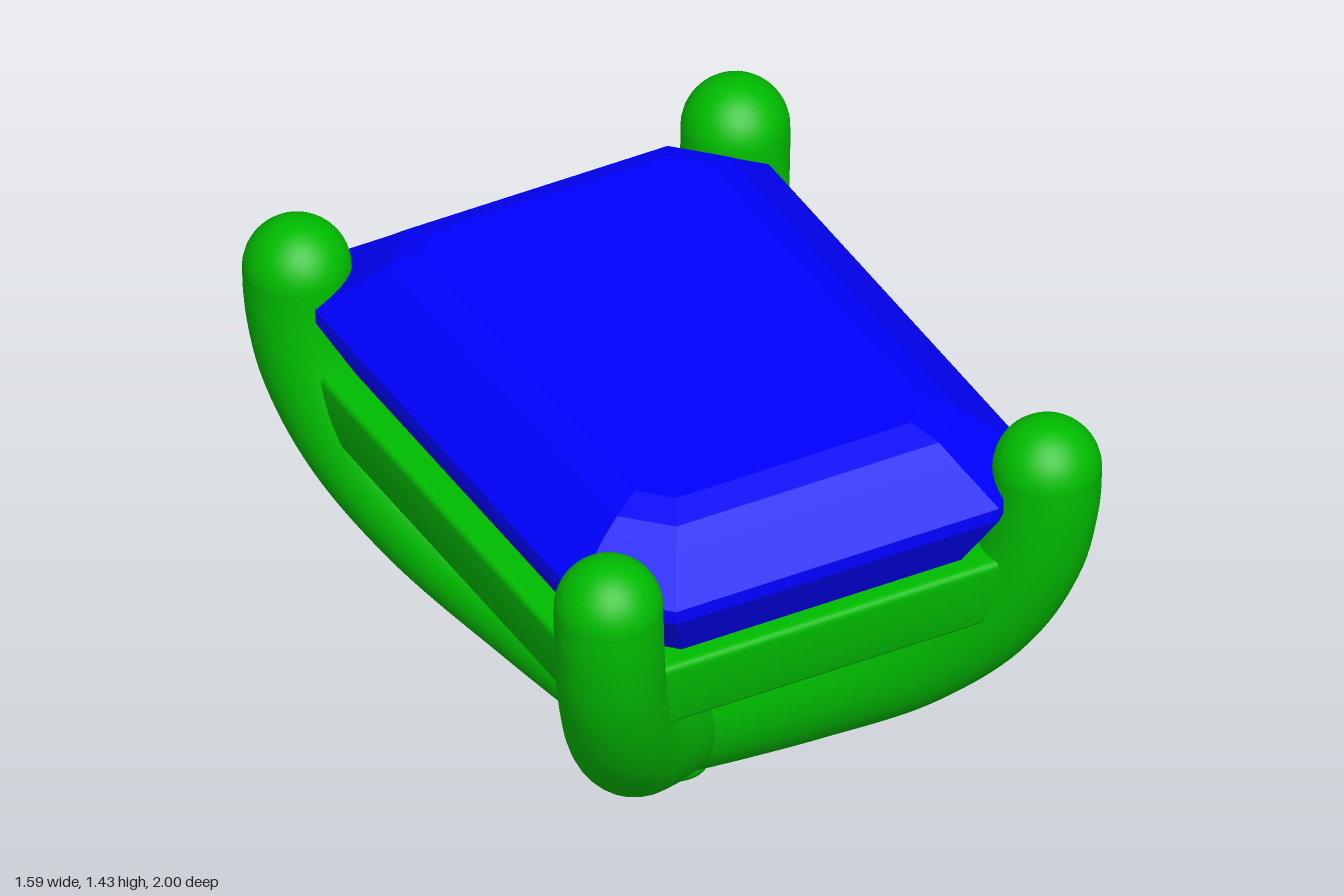
import * as THREE from 'three';

const RADIUS = 0.144;              // prong thickness
const TIP = { x: 0.652, y: 1.287, z: 0.856 };

// Outline of a step-cut stone: rectangle with cut corners, counter-clockwise from above
function ring([x, z, c, y]) {
  const a = x - c, b = z - c;
  return [[x, -b], [a, -z], [-a, -z], [-x, -b], [-x, b], [-a, z], [a, z], [x, b]]
    .map(([px, pz]) => [px, y, pz]);
}

function stoneGeometry() {
  // half width, half depth, corner cut, height
  const rings = [
    [0.43, 0.67, 0.08, 1.415],
    [0.505, 0.745, 0.115, 1.385],
    [0.555, 0.79, 0.14, 1.345],
    [0.675, 0.91, 0.195, 1.245],
    [0.675, 0.91, 0.195, 1.205],
    [0.55, 0.785, 0.16, 0.98],
    [0.41, 0.645, 0.12, 0.815],
    [0.2, 0.435, 0.06, 0.65],
    [0, 0.24, 0, 0.54],
  ].map(ring);
  const pos = [];
  const tri = (...points) => points.forEach((p) => pos.push(...p));
  for (let i = 1; i < 7; i++) tri(rings[0][0], rings[0][i], rings[0][i + 1]);
  for (let r = 0; r < rings.length - 1; r++) {
    const up = rings[r], low = rings[r + 1];
    for (let i = 0; i < 8; i++) {
      const j = (i + 1) % 8;
      tri(low[i], low[j], up[j]);
      tri(low[i], up[j], up[i]);
    }
  }
  const geo = new THREE.BufferGeometry();
  geo.setAttribute('position', new THREE.Float32BufferAttribute(pos, 3));
  geo.computeVertexNormals();
  return geo;
}

// Rail running along x with its outer face towards +z, leaning outwards at the top
function railGeometry(length, outer) {
  const s = new THREE.Shape();
  s.moveTo(-(outer - 0.2), 0.83);
  s.lineTo(-(outer - 0.2), 1.045);
  s.lineTo(-(outer + 0.005), 1.045);
  s.quadraticCurveTo(-(outer + 0.03), 1.045, -(outer + 0.028), 1.02);
  s.quadraticCurveTo(-(outer + 0.022), 0.93, -outer, 0.855);
  s.quadraticCurveTo(-(outer - 0.005), 0.83, -(outer - 0.03), 0.83);
  s.closePath();
  return new THREE.ExtrudeGeometry(s, { depth: length, bevelEnabled: false, curveSegments: 6 })
    .translate(0, 0, -length / 2).rotateY(Math.PI / 2);
}

export function createModel() {
  const model = new THREE.Group();
  model.name = 'gemSetting';
  const metal = new THREE.MeshStandardMaterial({ color: 0x00bc00 });
  const gem = new THREE.MeshStandardMaterial({ color: 0x0000ff, flatShading: true });

  const add = (name, geo, mat, parent = model) => {
    const mesh = new THREE.Mesh(geo, mat);
    mesh.name = name;
    parent.add(mesh);
    return mesh;
  };

  add('stone', stoneGeometry(), gem);

  // Four curved prongs with ball tips, meeting at the base
  const profile = [[0, 0.14], [0.115, 0.25], [0.235, 0.37], [0.42, 0.572],
    [0.55, 0.785], [0.622, 1.0], [0.648, 1.18], [TIP.x, TIP.y]];
  for (const sx of [1, -1]) {
    for (const sz of [1, -1]) {
      const prong = new THREE.Group();
      prong.name = (sz > 0 ? 'front' : 'back') + (sx > 0 ? 'Left' : 'Right') + 'Prong';
      const path = new THREE.CatmullRomCurve3(profile.map(([x, y]) =>
        new THREE.Vector3(sx * x, y, sz * x * TIP.z / TIP.x)));
      add('prongShaft', new THREE.TubeGeometry(path, 48, RADIUS, 32), metal, prong);
      add('prongTip', new THREE.SphereGeometry(RADIUS, 32, 20), metal, prong)
        .position.set(sx * TIP.x, TIP.y, sz * TIP.z);
      model.add(prong);
    }
  }

  // Small flat foot closing the joint at the bottom
  const foot = [[0, 0], [0.075, 0], [0.095, 0.008], [0.108, 0.03], [0.11, 0.08], [0, 0.14]]
    .map(([x, y]) => new THREE.Vector2(x, y));
  add('foot', new THREE.LatheGeometry(foot, 32), metal);

  // Rails joining neighbouring prongs under the stone
  ['front', 'left', 'back', 'right'].forEach((side, i) => {
    const geo = i % 2 ? railGeometry(1.54, 0.645) : railGeometry(1.16, 0.852);
    add(side + 'Rail', geo, metal).rotation.y = i * Math.PI / 2;
  });
  return model;
}
